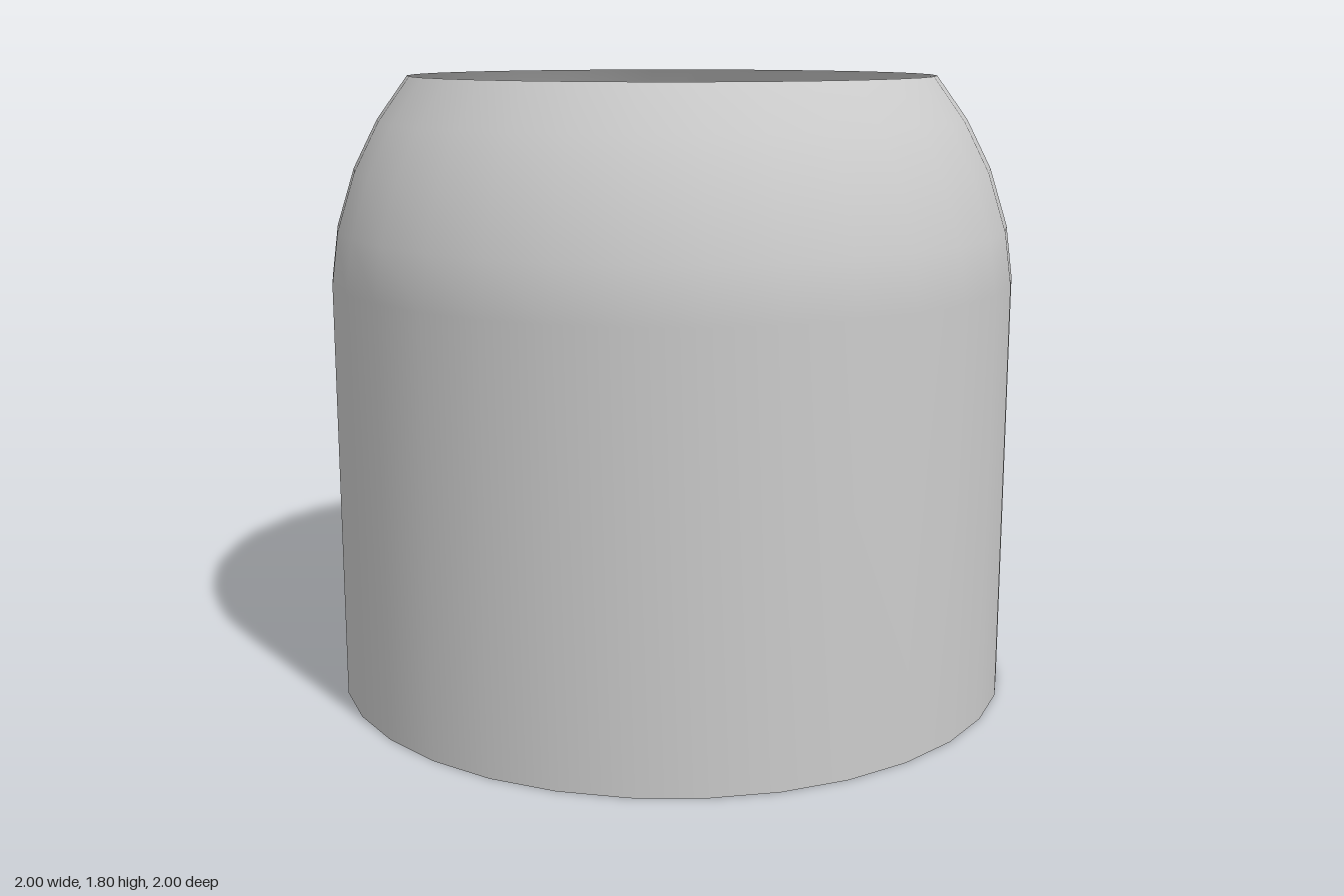
import * as THREE from 'three';

export function createModel() {
  const group = new THREE.Group();
  const material = new THREE.MeshStandardMaterial({ color: 0xcccccc, side: THREE.DoubleSide });

  // Thin sleeve open at both ends: straight wall, then a shoulder curving in to the rim
  const profile = [
    [1, 0], [1, 1.22], [0.98, 1.37], [0.928, 1.535], [0.857, 1.675], [0.767, 1.8],
  ].map(([r, y]) => new THREE.Vector2(r, y));

  const sleeve = new THREE.Mesh(new THREE.LatheGeometry(profile, 32), material);
  sleeve.name = 'domedSleeve';
  group.add(sleeve);
  return group;
}
